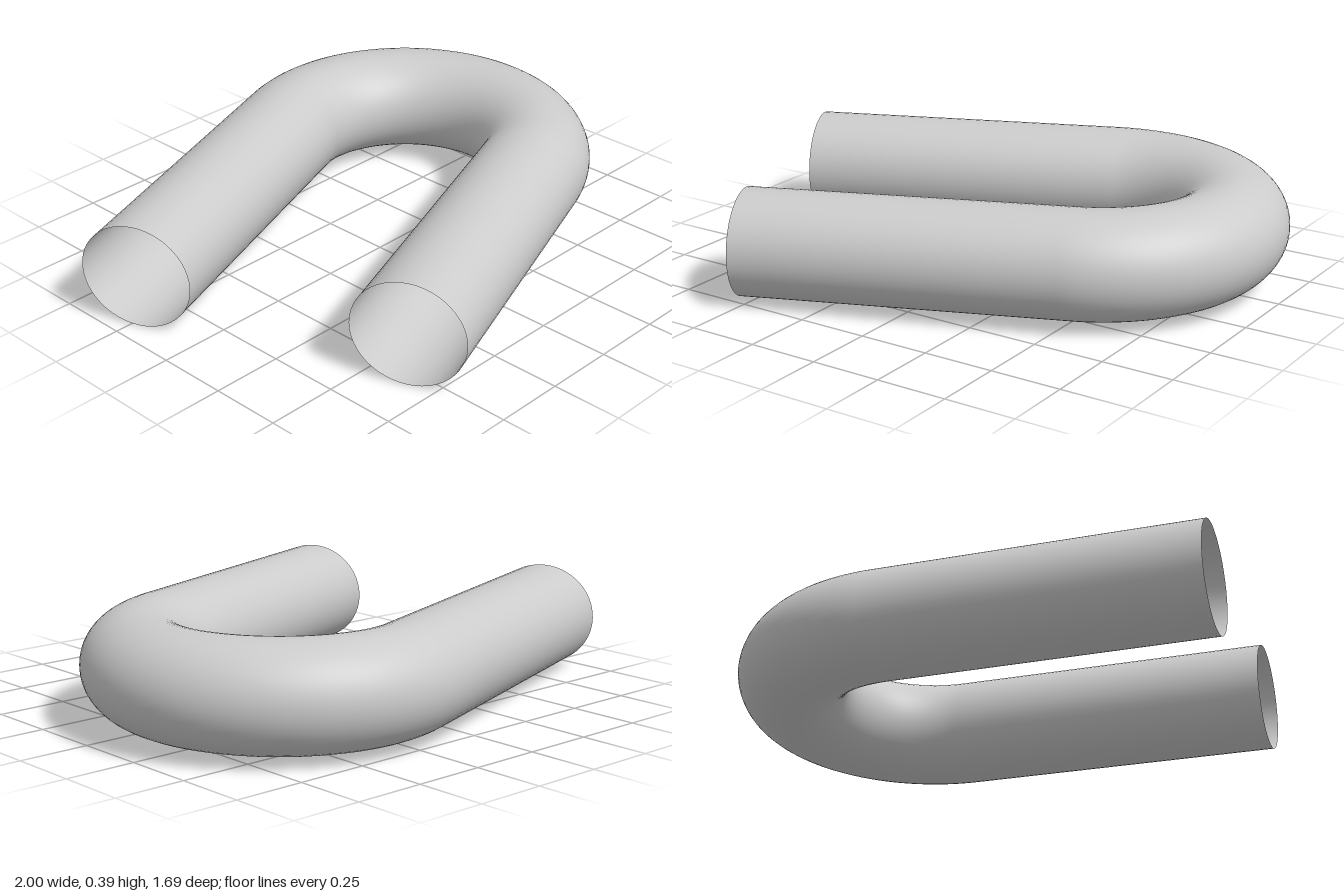
import * as THREE from 'three';

const SIDES = 48;          // points around the pipe
const HALF_W = 0.198;      // half width in plan
const HALF_H = 0.186;      // half height
const BEND = { x: 0.325, y: 0.203, z: -0.175, r: 0.474 };
const END_Y = 0.187;       // the legs dip slightly towards their open ends
const rad = THREE.MathUtils.degToRad;

// Sweep an oval ring through stations of { position, heading }
function sweep(stations) {
  const pos = [], index = [];
  stations.forEach(({ p, a }, i) => {
    for (let j = 0; j < SIDES; j++) {
      const t = (j / SIDES) * Math.PI * 2;
      const w = HALF_W * Math.cos(t);
      pos.push(p.x + w * Math.cos(a), p.y + HALF_H * Math.sin(t), p.z + w * Math.sin(a));
      if (i === stations.length - 1) continue;
      const k = (j + 1) % SIDES, r = i * SIDES, s = r + SIDES;
      index.push(r + j, r + k, s + j, r + k, s + k, s + j);
    }
  });
  const geo = new THREE.BufferGeometry();
  geo.setAttribute('position', new THREE.Float32BufferAttribute(pos, 3));
  geo.setIndex(index);
  geo.computeVertexNormals();
  return geo;
}

export function createModel() {
  const group = new THREE.Group();
  group.name = 'uBendPipe';

  // Half-circle bend
  const bend = [];
  for (let i = 0; i <= 48; i++) {
    const a = rad(-110 + (180 * i) / 48);
    bend.push({
      p: new THREE.Vector3(BEND.x + BEND.r * Math.cos(a), BEND.y, BEND.z + BEND.r * Math.sin(a)),
      a,
    });
  }

  // Straight leg from an open end to the bend; both ends share one cut plane
  const leg = (end, joint, cut) => {
    const list = [];
    for (let i = 0; i < 8; i++) {
      list.push({ p: end.clone().lerp(joint.p, i / 8), a: i === 0 ? rad(cut) : joint.a });
    }
    return list;
  };
  const backLeg = leg(new THREE.Vector3(-0.925, END_Y, -0.225), bend[0], -112);
  const frontLeg = leg(new THREE.Vector3(-0.565, END_Y, 0.656), bend[48], 68).reverse();

  const pipe = new THREE.Mesh(
    sweep([...backLeg, ...bend, ...frontLeg]),
    new THREE.MeshStandardMaterial({ color: 0xcccccc, side: THREE.DoubleSide })
  );
  pipe.name = 'pipe';
  group.add(pipe);
  return group;
}
